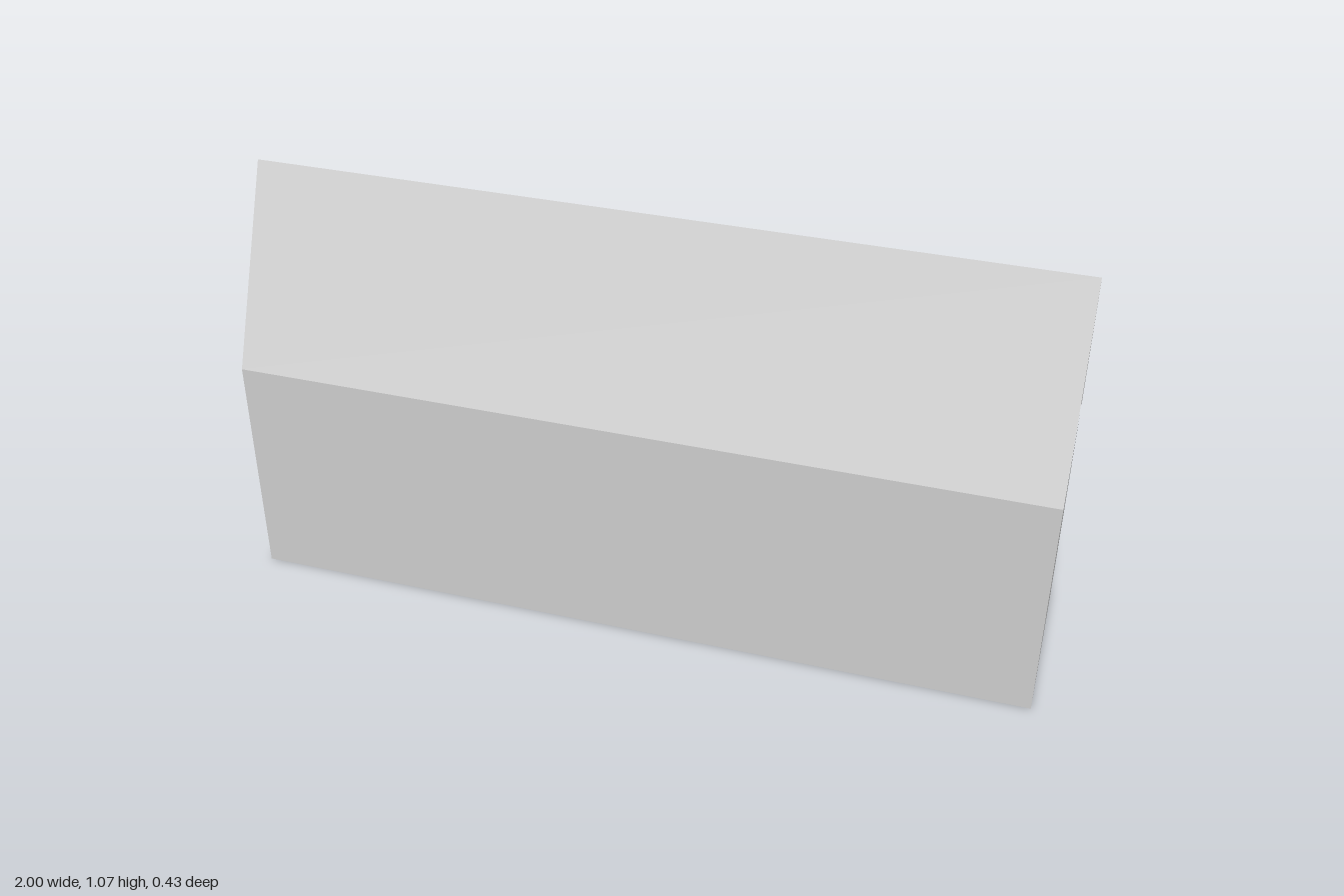
import * as THREE from 'three';

const LENGTH = 2, DEPTH = 0.43, WALL = 0.6, RIDGE = 1.07;

export function createModel() {
  const house = new THREE.Group();
  house.name = 'openBackHouse';
  const grey = new THREE.MeshStandardMaterial({ color: 0xcccccc, side: THREE.DoubleSide });
  grey.name = 'light grey';

  // One thin sheet, placed by its centre and turned from facing +z
  const panel = (name, width, height, position, rotation = [0, 0, 0]) => {
    const mesh = new THREE.Mesh(new THREE.PlaneGeometry(width, height), grey);
    mesh.name = name;
    mesh.position.set(...position);
    mesh.rotation.set(...rotation);
    house.add(mesh);
  };

  // Floor and front wall; the back stays open
  panel('floor', LENGTH, DEPTH, [0, 0, 0], [Math.PI / 2, 0, 0]);
  panel('frontWall', LENGTH, WALL, [0, WALL / 2, DEPTH / 2]);

  // End walls, with open gables above them
  for (const [name, s] of [['leftWall', 1], ['rightWall', -1]]) {
    panel(name, DEPTH, WALL, [s * LENGTH / 2, WALL / 2, 0], [0, s * Math.PI / 2, 0]);
  }

  // Two roof slopes meeting at the ridge
  const rise = RIDGE - WALL, run = DEPTH / 2;
  const slope = Math.hypot(rise, run), tilt = Math.atan2(run, rise);
  for (const [name, s] of [['frontRoof', 1], ['backRoof', -1]]) {
    const turn = s > 0 ? -tilt : Math.PI + tilt;
    panel(name, LENGTH, slope, [0, (WALL + RIDGE) / 2, s * run / 2], [turn, 0, 0]);
  }

  return house;
}
